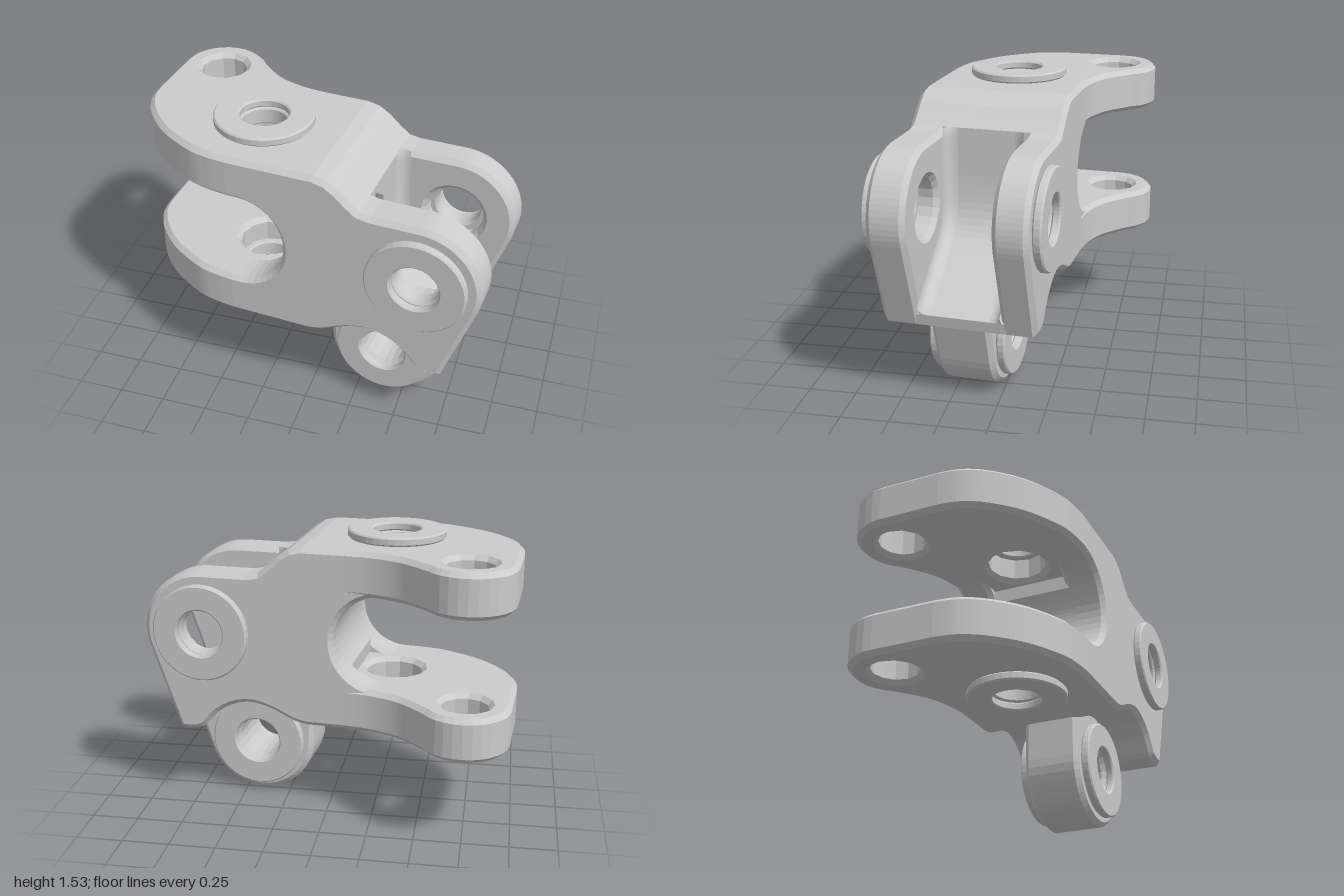
import * as THREE from 'three';

const BEVEL = 0.025;
const MID = 0.1125; // centre plane of the body across its width
const V = (pts) => pts.map(([x, y]) => new THREE.Vector2(x, y));

const material = new THREE.MeshStandardMaterial({ color: 0xcccccc });
const filletMaterial = new THREE.MeshStandardMaterial({ color: 0xcccccc, side: THREE.DoubleSide });

// Extrude a shape from a to b with chamfered edges that stay inside the outline
function slab(shape, a, b, bevel = BEVEL, segments = 10) {
  const geo = new THREE.ExtrudeGeometry(shape, {
    depth: b - a - 2 * bevel, curveSegments: segments, bevelEnabled: bevel > 0,
    bevelThickness: bevel, bevelSize: bevel, bevelOffset: -bevel, bevelSegments: 1,
  });
  return geo.translate(0, 0, a + bevel);
}

function hole(x, y, r) {
  return new THREE.Path().absarc(x, y, r, 0, Math.PI * 2, false);
}

function ringShape(x, y, outer, inner) {
  const s = new THREE.Shape().absarc(x, y, outer, 0, Math.PI * 2, false);
  s.holes.push(hole(x, y, inner));
  return s;
}

// Top line stepping down to the lugs, underside hugging the lower lug, pocket floor
const STEP = V([[0.17, 1.47], [0.23, 1.43], [0.29, 1.375], [0.34, 1.335], [0.4, 1.325]]);
const UNDERSIDE = new THREE.SplineCurve(V([[0.73, 0.43], [0.67, 0.445], [0.63, 0.485], [0.58, 0.54],
  [0.5, 0.59], [0.41, 0.614], [0.33, 0.605], [0.25, 0.578], [0.15, 0.53], [0.07, 0.515]])).getPoints(18);
const FLOOR = new THREE.SplineCurve(V([[0.34, 1.335], [0.342, 1.15], [0.348, 1], [0.37, 0.88],
  [0.42, 0.79], [0.5, 0.72], [0.65, 0.608], [0.807, 0.49]])).getPoints(20);
const TANGENT = -0.322; // angle where the lug circles meet their common tangent

// Side cheek: slot end, step, upper lug and underside in one profile
function cheekShape() {
  const s = new THREE.Shape();
  s.moveTo(-0.315, 1.25);
  s.lineTo(-0.315, 1.485);
  s.lineTo(0.1, 1.485);
  STEP.forEach((p) => s.lineTo(p.x, p.y));
  s.absarc(0.65, 1, 0.325, Math.PI / 2, TANGENT, true);
  s.lineTo(0.795, 0.43);
  UNDERSIDE.forEach((p) => s.lineTo(p.x, p.y));
  s.lineTo(-0.315, 0.515);
  s.lineTo(-0.315, 0.75);
  s.absarc(-0.315, 1, 0.25, -Math.PI / 2, Math.PI / 2, false);
  s.holes.push(hole(0.65, 1, 0.155));
  return s;
}

// Core between the cheeks, from the slot end to the curved pocket floor
function coreShape() {
  const s = new THREE.Shape();
  s.moveTo(-0.135, 1.1735);
  s.lineTo(-0.135, 1.485);
  s.lineTo(0.1, 1.485);
  STEP.slice(0, 3).forEach((p) => s.lineTo(p.x, p.y));
  FLOOR.forEach((p) => s.lineTo(p.x, p.y));
  s.lineTo(0.795, 0.43);
  UNDERSIDE.forEach((p) => s.lineTo(p.x, p.y));
  s.lineTo(-0.135, 0.515);
  s.absarc(-0.315, 1, 0.25, -0.767, 0.767, false);
  return s;
}

function lowerLugShape() {
  const s = new THREE.Shape();
  s.moveTo(0.45, 0.68);
  s.lineTo(0.75, 0.52);
  s.lineTo(0.807, 0.49);
  s.absarc(0.42, 0.31, 0.31, TANGENT, -Math.PI, true);
  s.lineTo(0.11, 0.6);
  s.holes.push(hole(0.42, 0.31, 0.12));
  return s;
}

// Fork plate seen from above (shape y is -z)
function plateShape() {
  const s = new THREE.Shape();
  s.moveTo(0.05, -0.515);
  s.lineTo(-0.36, -0.515);
  s.splineThru(V([[-0.47, -0.503], [-0.58, -0.474], [-0.77, -0.371], [-0.913, -0.233],
    [-0.984, -0.109], [-1.005, 0.01]]));
  s.absarc(-0.774, 0.342, 0.235, Math.PI, 0.61, true);
  s.splineThru(V([[-0.434, 0.362], [-0.279, 0.306], [-0.127, 0.29]]));
  s.lineTo(0.05, 0.29);
  s.holes.push(hole(-0.774, 0.342, 0.125), hole(-0.321, -MID, 0.155));
  return s;
}

// Concave fillet along the pocket floor; its end rows shrink into the corner to close it
function filletGeometry(wall, dir, r = 0.06, steps = 5) {
  const pos = [], index = [], row = steps + 1;
  const path = [FLOOR[0], ...FLOOR, FLOOR[FLOOR.length - 1]];
  path.forEach((p, i) => {
    const size = i === 0 || i === path.length - 1 ? 0 : r;
    const t = path[Math.min(i + 1, path.length - 1)].clone().sub(path[Math.max(i - 1, 0)]).normalize();
    for (let j = 0; j <= steps; j++) {
      const a = (j / steps) * Math.PI / 2;
      const out = size * (1 - Math.sin(a));
      pos.push(p.x - t.y * out, p.y + t.x * out, wall + dir * size * (1 - Math.cos(a)));
      if (i > 0 && j > 0) {
        const k = i * row + j;
        index.push(k, k - 1, k - row, k - 1, k - 1 - row, k - row);
      }
    }
  });
  const geo = new THREE.BufferGeometry();
  geo.setAttribute('position', new THREE.Float32BufferAttribute(pos, 3));
  geo.setIndex(index);
  geo.computeVertexNormals();
  return geo;
}

export function createModel() {
  const model = new THREE.Group();
  model.name = 'clevisJoint';
  const body = new THREE.Group();
  body.name = 'body';
  body.rotation.y = -0.09;
  model.add(body);

  const add = (name, geo, mat = material) => {
    const mesh = new THREE.Mesh(geo, mat);
    mesh.name = name;
    body.add(mesh);
  };
  const upright = (geo) => geo.rotateX(-Math.PI / 2);
  const flat = (geo) => geo;

  // Raised ring on a face, dir being the way the face looks
  const boss = (name, x, y, face, dir, place) => {
    const ends = [face, face + dir * 0.046].sort((a, b) => a - b);
    add(name + 'Boss', place(slab(ringShape(x, y, 0.262, 0.127), ...ends, 0.008, 20)));
  };
  // Sleeve narrowing the outer half of a bore
  const sleeve = (name, x, y, face, dir, place) => {
    const ends = [face, face - dir * 0.095].sort((a, b) => a - b);
    add(name + 'Sleeve', place(slab(ringShape(x, y, 0.168, 0.12), ...ends, 0.008, 20)));
  };

  // Fork plates
  add('upperForkPlate', upright(slab(plateShape(), 1.25, 1.485, BEVEL, 6)));
  add('lowerForkPlate', upright(slab(plateShape(), 0.515, 0.75, BEVEL, 6)));

  // Cheeks carrying the upper lugs, and the core joining them
  add('frontCheek', slab(cheekShape(), 0.315, 0.515));
  add('backCheek', slab(cheekShape(), -0.29, -0.11));
  add('core', slab(coreShape(), -0.14, 0.345, 0));
  add('frontPocketFillet', filletGeometry(0.315, -1), filletMaterial);
  add('backPocketFillet', filletGeometry(-0.11, 1), filletMaterial);

  // Lower lug
  add('lowerLug', slab(lowerLugShape(), MID - 0.155, MID + 0.155));

  // Bosses and stepped bores
  for (const [name, ...spot] of [
    ['upperFork', -0.321, -MID, 1.485, 1, upright],
    ['lowerFork', -0.321, -MID, 0.515, -1, upright],
    ['frontUpperLug', 0.65, 1, 0.515, 1, flat],
    ['backUpperLug', 0.65, 1, -0.29, -1, flat],
  ]) {
    boss(name, ...spot);
    sleeve(name, ...spot);
  }
  boss('frontLowerLug', 0.42, 0.31, MID + 0.155, 1, flat);
  boss('backLowerLug', 0.42, 0.31, MID - 0.155, -1, flat);

  return model;
}
